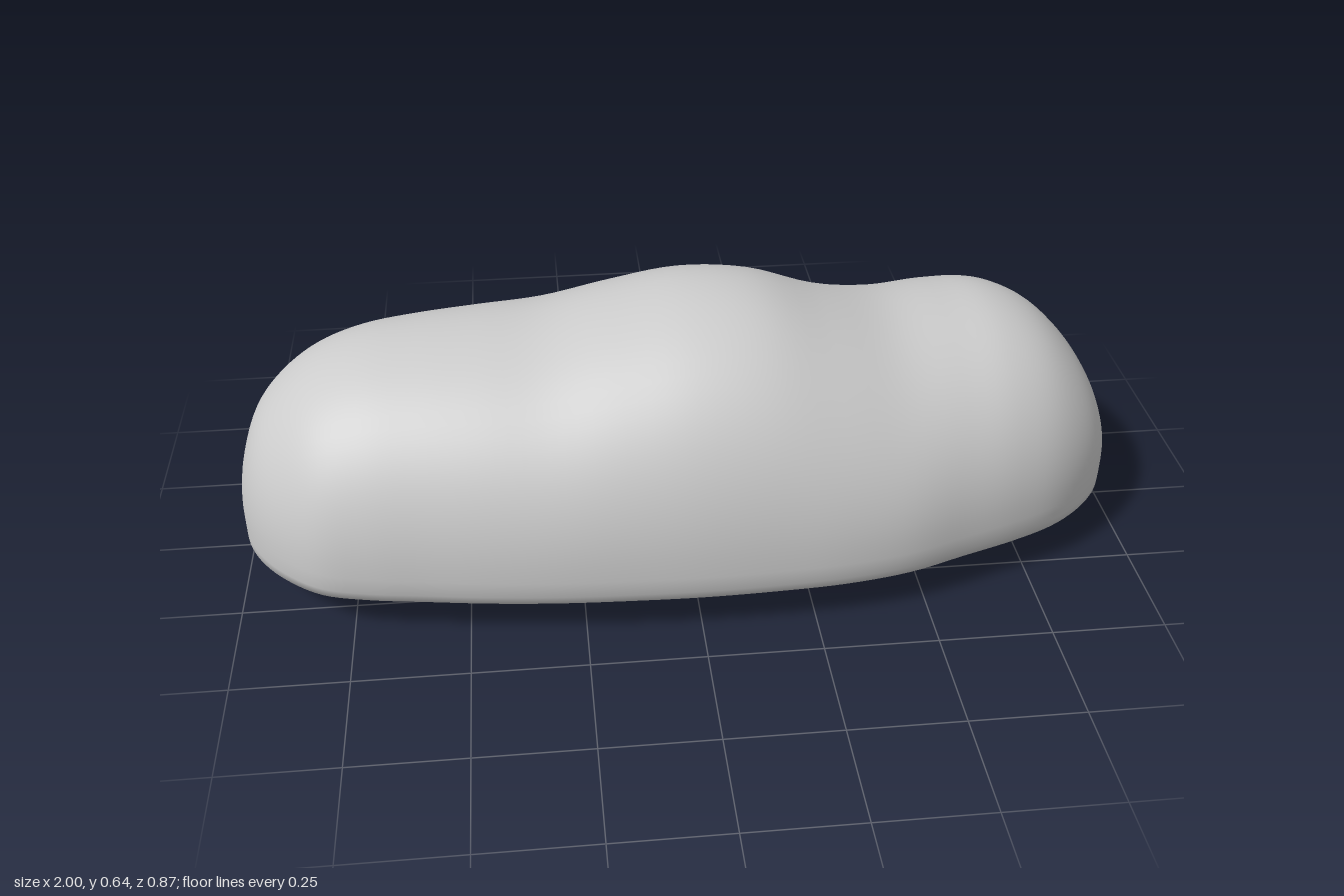
import * as THREE from 'three';
import { mergeVertices } from 'three/addons/utils/BufferGeometryUtils.js';

const WAIST = 0.16; // height of the widest line
const RIM = 0.1; // height where the side turns under

// Stations at x = -cos(PI * i / 20): top, underside, back edge, front edge
const TOP = [0.16, 0.26, 0.365, 0.44, 0.5, 0.538, 0.556, 0.567, 0.577, 0.614, 0.643,
  0.633, 0.578, 0.536, 0.53, 0.524, 0.484, 0.41, 0.32, 0.225, 0.15];
const UNDER = [0.16, 0.104, 0.078, 0.058, 0.044, 0.036, 0.029, 0.021, 0.011, 0.006, 0.002,
  0.004, 0.007, 0.009, 0.012, 0.017, 0.028, 0.047, 0.07, 0.1, 0.15];
const BACK = [0.02, -0.085, -0.17, -0.24, -0.288, -0.314, -0.332, -0.35, -0.367, -0.37, -0.37,
  -0.36, -0.361, -0.41, -0.438, -0.43, -0.385, -0.315, -0.235, -0.15, -0.06];
const FRONT = [0.02, 0.115, 0.2, 0.275, 0.337, 0.366, 0.385, 0.405, 0.42, 0.428, 0.432,
  0.428, 0.418, 0.393, 0.347, 0.305, 0.258, 0.195, 0.12, 0.03, -0.06];

// One closed section: domed top, short upright sides, shallow curved underside
function section(x, top, under, back, front) {
  const ring = [];
  const mid = (back + front) / 2;
  const half = (front - back) / 2;
  const rim = Math.max(RIM, under);
  const soft = (v) => Math.sign(v) * Math.pow(Math.abs(v), 0.95);
  const add = (u, y) => ring.push([x, y, mid + u * half]);

  for (let k = 0; k <= 36; k++) {
    const a = (Math.PI * k) / 36;
    add(soft(Math.cos(a)), WAIST + (top - WAIST) * soft(Math.max(0, Math.sin(a))));
  }
  for (let k = 1; k <= 3; k++) {
    const s = k / 3;
    add(-1 + 0.025 * s * s, WAIST + (rim - WAIST) * s);
  }
  for (let k = 1; k < 24; k++) {
    const u = -1 + k / 12;
    add(u * 0.975, under + (rim - under) * Math.pow(Math.abs(u), 2.5));
  }
  for (let k = 3; k >= 1; k--) {
    const s = k / 3;
    add(1 - 0.025 * s * s, WAIST + (rim - WAIST) * s);
  }
  return ring;
}

function bodyGeometry() {
  const stationX = TOP.map((_, i) => -Math.cos((Math.PI * i) / 20));
  const spline = (a, b) => new THREE.CatmullRomCurve3(
    stationX.map((x, i) => new THREE.Vector3(x, a[i], b[i])), false, 'catmullrom', 0.5);
  const heights = spline(TOP, UNDER);
  const edges = spline(BACK, FRONT);

  const steps = 100;
  const positions = [];
  const index = [];
  let count = 0;
  for (let i = 0; i <= steps; i++) {
    const h = heights.getPoint(i / steps);
    const e = edges.getPoint(i / steps);
    const ring = section(h.x, h.y, h.z, e.y, e.z);
    count = ring.length;
    ring.forEach((p) => positions.push(...p));
  }
  for (let i = 0; i < steps; i++) {
    for (let j = 0; j < count; j++) {
      const n = (j + 1) % count;
      const a = i * count + j, b = a + count;
      const d = i * count + n, c = d + count;
      index.push(a, b, d, b, c, d);
    }
  }
  const geometry = new THREE.BufferGeometry();
  geometry.setAttribute('position', new THREE.Float32BufferAttribute(positions, 3));
  geometry.setIndex(index);
  // Welding closes both end points so the shading stays smooth there
  const welded = mergeVertices(geometry, 1e-4);
  welded.computeVertexNormals();
  return welded;
}

export function createModel() {
  const group = new THREE.Group();
  group.name = 'smoothLoaf';
  const body = new THREE.Mesh(bodyGeometry(), new THREE.MeshStandardMaterial({ color: 0xcccccc }));
  body.name = 'body';
  group.add(body);
  return group;
}
